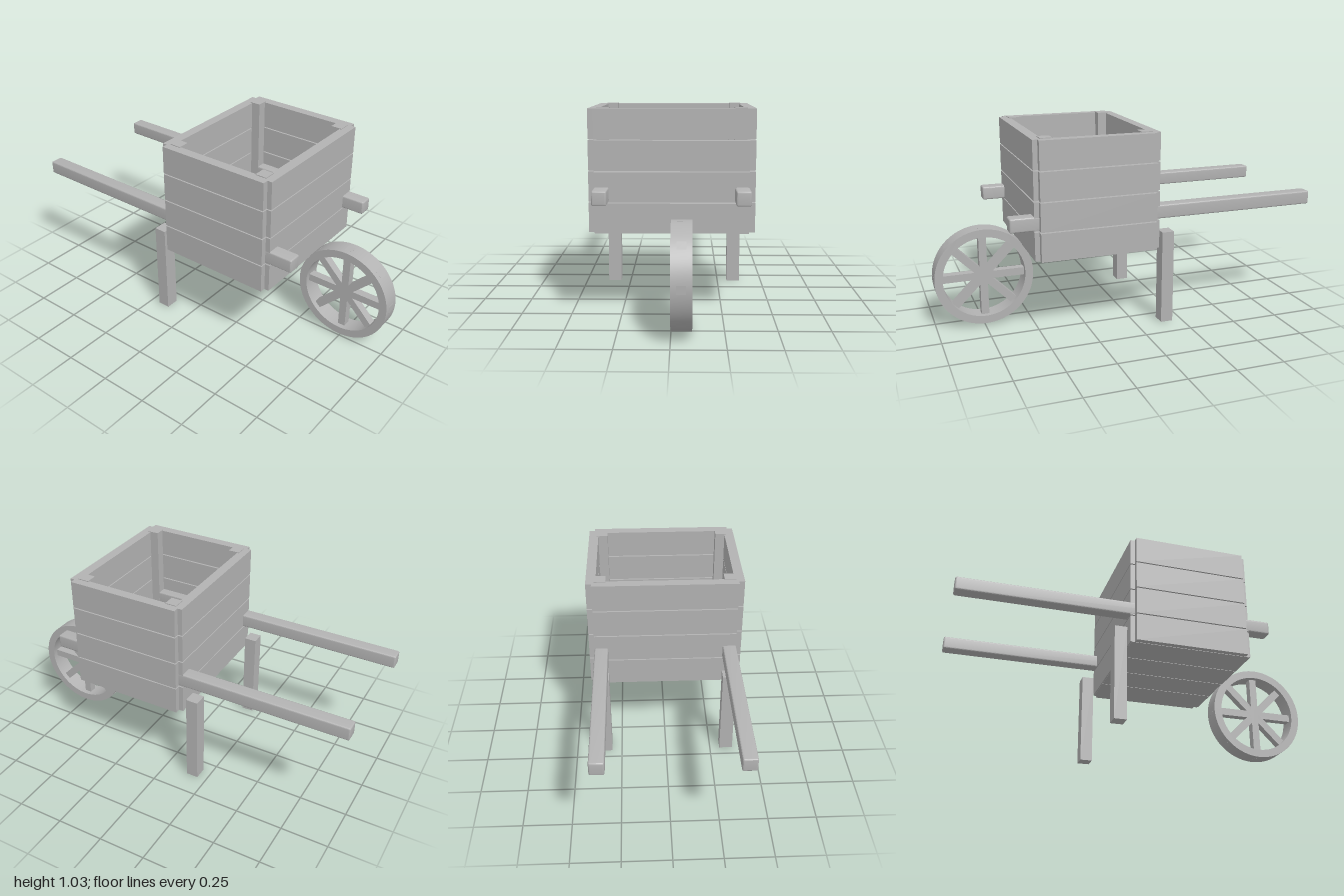
import * as THREE from 'three';
import { toCreasedNormals } from 'three/addons/utils/BufferGeometryUtils.js';
import { RoundedBoxGeometry } from 'three/addons/geometries/RoundedBoxGeometry.js';

export function createModel() {
  const model = new THREE.Group();
  model.name = 'wheelbarrow';
  const wood = new THREE.MeshStandardMaterial({ color: 0xb2b2b2 });
  wood.name = 'greyWood';

  const add = (name, geometry, parent = model) => {
    const mesh = new THREE.Mesh(geometry, wood);
    mesh.name = name;
    parent.add(mesh);
    return mesh;
  };
  // box given by its extents on each axis
  const box = (name, [x0, x1], [y0, y1], [z0, z1], bevel = 0) => {
    const size = [x1 - x0, y1 - y0, z1 - z0];
    const geometry = bevel
      ? toCreasedNormals(new RoundedBoxGeometry(...size, 2, bevel), 0.3)
      : new THREE.BoxGeometry(...size);
    add(name, geometry).position.set((x0 + x1) / 2, (y0 + y1) / 2, (z0 + z1) / 2);
  };

  // four rows of boards around the tray
  for (let i = 0; i < 4; i++) {
    const y = [0.42 + i * 0.152, 0.566 + i * 0.152];
    box('frontBoard', [-0.375, 0.375], y, [0.487, 0.54]);
    box('backBoard', [-0.375, 0.375], y, [-0.116, -0.066]);
    box('leftBoard', [0.354, 0.405], y, [-0.092, 0.515]);
    box('rightBoard', [-0.405, -0.354], y, [-0.092, 0.515]);
  }

  // floor planks
  for (let i = 0; i < 4; i++) {
    const x = -0.375 + i * 0.1885;
    box('floorPlank', [x, x + 0.1845], [0.418, 0.468], [-0.11, 0.534]);
  }

  // corner posts, handles and legs on both sides
  for (const s of [-1, 1]) {
    const span = (a, b) => (s > 0 ? [a, b] : [-b, -a]);
    box('cornerPost', span(0.303, 0.363), [0.425, 1.026], [0.439, 0.499]);
    box('cornerPost', span(0.303, 0.363), [0.425, 1.026], [-0.077, -0.017]);
    box('handle', span(0.304, 0.376), [0.573, 0.645], [-1, 0.662], 0.009);
    box('leg', span(0.304, 0.376), [0, 0.497], [-0.199, -0.134]);
  }

  // wheel with eight spokes
  const wheel = new THREE.Group();
  wheel.name = 'wheel';
  wheel.position.set(0.049, 0.267, 0.743);
  model.add(wheel);

  const ring = new THREE.Shape().absarc(0, 0, 0.257, 0, Math.PI * 2, false);
  ring.holes.push(new THREE.Path().absarc(0, 0, 0.215, 0, Math.PI * 2, true));
  const rim = new THREE.ExtrudeGeometry(ring, { depth: 0.098, bevelEnabled: false, curveSegments: 48 });
  rim.translate(0, 0, -0.049).rotateY(Math.PI / 2);
  add('rim', toCreasedNormals(rim, 0.5), wheel);

  for (let i = 0; i < 4; i++) {
    add('spokePair', new THREE.BoxGeometry(0.043, 0.514, 0.04), wheel).rotation.x = i * Math.PI / 4;
  }
  return model;
}
